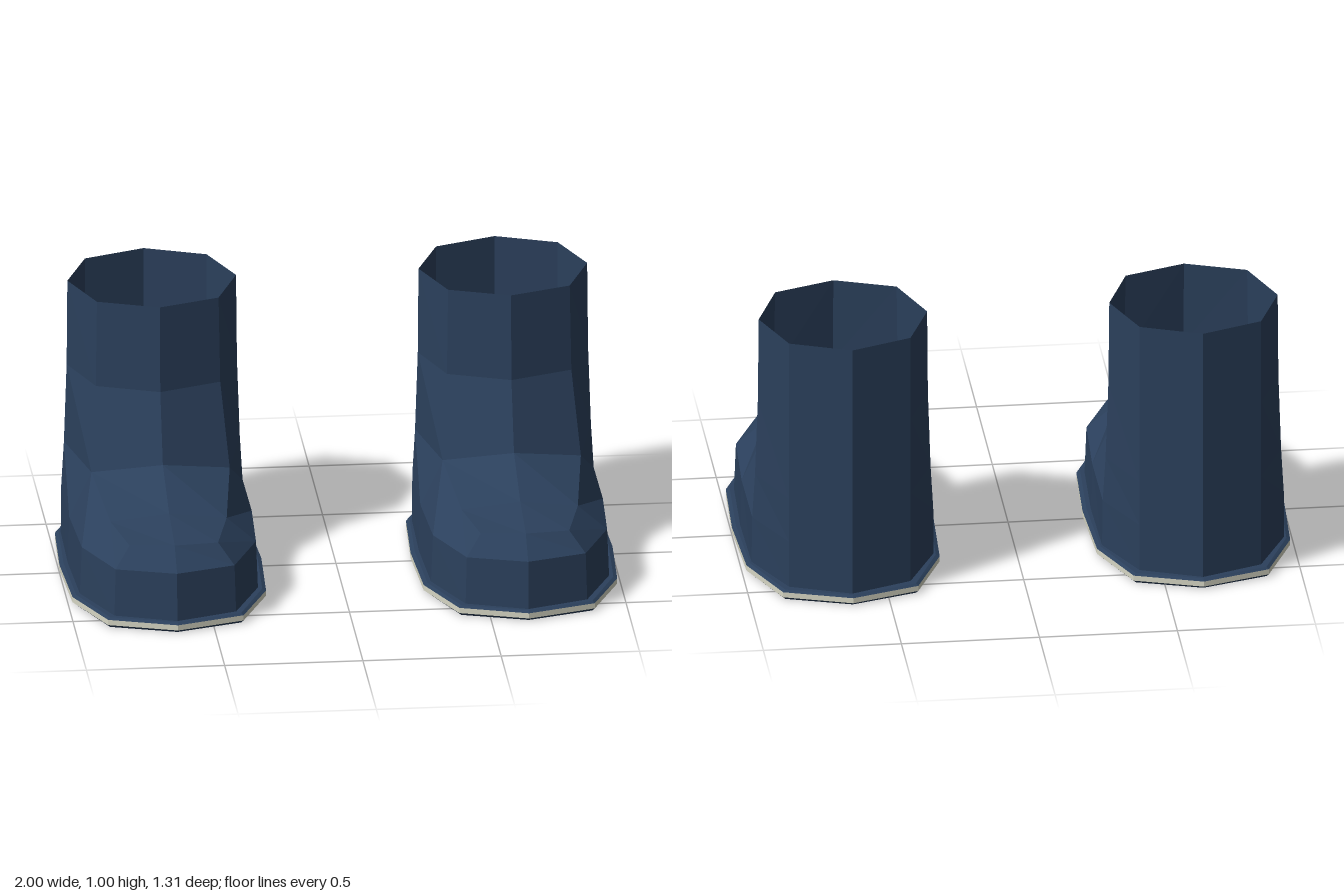
import * as THREE from 'three';

const paint = (color) => new THREE.MeshStandardMaterial({ color, flatShading: true, side: THREE.DoubleSide });

// Collects quads and polygons into a flat-shaded geometry.
function makeMesh(name, faces, material) {
  const pos = [];
  for (const f of faces)
    for (let i = 1; i < f.length - 1; i++) pos.push(...f[0], ...f[i], ...f[i + 1]);
  const geo = new THREE.BufferGeometry();
  geo.setAttribute('position', new THREE.Float32BufferAttribute(pos, 3));
  geo.computeVertexNormals();
  const mesh = new THREE.Mesh(geo, material);
  mesh.name = name;
  return mesh;
}

// Quads between an upper and a lower row running from the centre line to +x, plus their mirror.
function strip(faces, upper, lower) {
  const flip = ([x, y, z]) => [-x, y, z];
  for (let i = 0; i < upper.length - 1; i++) {
    const quad = [upper[i], lower[i], lower[i + 1], upper[i + 1]];
    faces.push(quad, quad.map(flip).reverse());
  }
}

// Upper: shaft rings, instep, toe cap and side walls for one half.
function makeUpper(material) {
  const top = [[0, 1, -0.02], [0.22, 1, -0.1], [0.305, 1, -0.325], [0.22, 1, -0.545], [0, 1, -0.63]];
  const mid = [[0, 0.68, -0.005], [0.225, 0.68, -0.09], [0.308, 0.68, -0.322], [0.22, 0.68, -0.545], [0, 0.68, -0.63]];
  const ankle = [[0, 0.435, 0.09], [0.25, 0.385, 0.005], [0.318, 0.385, -0.32], [0.22, 0.385, -0.545], [0, 0.385, -0.63]];
  const instep = [[0, 0.335, 0.325], [0.21, 0.305, 0.305]];
  const toe = [[0, 0.29, 0.53], [0.16, 0.285, 0.5]];
  const wall = [[0, 0.215, 0.62], [0.215, 0.212, 0.545], [0.315, 0.215, 0.315], [0.33, 0.215, 0.002],
    [0.328, 0.215, -0.318], [0.22, 0.215, -0.545], [0, 0.215, -0.63]];
  const base = [[0, 0.035, 0.63], [0.22, 0.035, 0.552], [0.322, 0.035, 0.315], [0.335, 0.035, 0],
    [0.33, 0.035, -0.315], [0.22, 0.035, -0.545], [0, 0.035, -0.63]];
  const faces = [];
  strip(faces, top, mid);
  strip(faces, mid, ankle);
  strip(faces, ankle.slice(0, 2), instep);
  strip(faces, instep, toe);
  strip(faces, toe, wall.slice(0, 2));
  strip(faces, [toe[1], instep[1], ankle[1]], wall.slice(1, 4));
  strip(faces, ankle.slice(1), wall.slice(3));
  strip(faces, wall, base);
  return makeMesh('upper', faces, material);
}

// Sole ring at height y; t blends from the centre panel outline (0) to the outer edge (1).
function soleRing(t, y) {
  const inner = [[0, 0.53], [0.165, 0.5], [0.212, 0.31], [0.22, 0]];
  const outer = [[0, 0.655], [0.245, 0.575], [0.35, 0.33], [0.365, 0]];
  const q = inner.map(([x, z], i) => [x + (outer[i][0] - x) * t, z + (outer[i][1] - z) * t]);
  const half = [...q, ...q.slice(0, 3).reverse().map(([x, z]) => [x, -z])];
  const all = [...half, ...half.slice(1, 6).reverse().map(([x, z]) => [-x, z])];
  return all.map(([x, z]) => [x, y, z]);
}

// Faces through a stack of closed rings, listed from the top down.
function band(rings) {
  const faces = [];
  for (let r = 0; r < rings.length - 1; r++) {
    const a = rings[r], b = rings[r + 1], n = a.length;
    for (let i = 0; i < n; i++) {
      const j = (i + 1) % n;
      faces.push([a[i], b[i], b[j], a[j]]);
    }
  }
  return faces;
}

function makeBoot(name) {
  const navy = paint(0x2b405c), cream = paint(0xd6d6c4);
  const boot = new THREE.Group();
  boot.name = name;
  boot.add(
    makeUpper(navy),
    makeMesh('weltTop', band([soleRing(0, 0.037), soleRing(0.9, 0.037), soleRing(1, 0.03)]), navy),
    makeMesh('weltEdge', band([soleRing(1, 0.03), soleRing(1, 0.01)]), cream),
    makeMesh('weltBottom', band([soleRing(1, 0.01), soleRing(0.9, 0), soleRing(0, 0)]), navy),
    makeMesh('insole', [soleRing(0, 0.037)], cream),
    makeMesh('outsole', [soleRing(0, 0).reverse()], cream),
  );
  return boot;
}

export function createModel() {
  const model = new THREE.Group();
  model.name = 'boots';
  for (const [name, side] of [['leftBoot', 1], ['rightBoot', -1]]) {
    const boot = makeBoot(name);
    boot.position.x = side * 0.635;
    model.add(boot);
  }
  return model;
}
